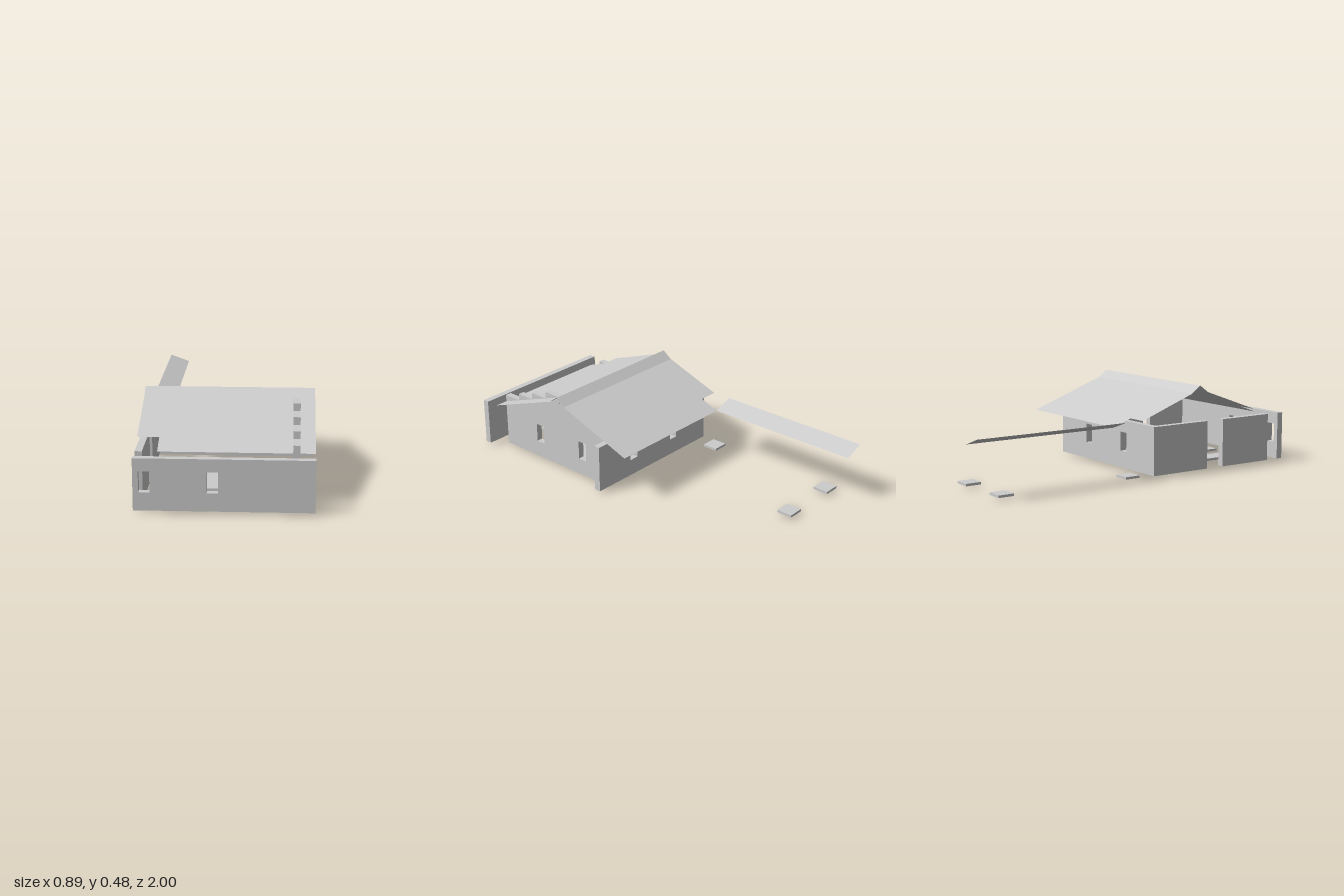
import * as THREE from 'three';

const C = 1 / 9;          // grid cell
const T = 0.036;          // wall thickness
const BASE = 0.0133;      // top of the floor slab
const EAVE = 0.28;        // top of the walls
const STEP = 0.04;        // rise per cell of roof
const W = 4 * C;          // half width

export function createModel() {
  const model = new THREE.Group();
  model.name = 'house';
  const plaster = new THREE.MeshStandardMaterial({ color: 0xcccccc, side: THREE.DoubleSide });
  plaster.name = 'light grey';

  const add = (name, geometry, parent = model) => {
    const mesh = new THREE.Mesh(geometry, plaster);
    mesh.name = name;
    parent.add(mesh);
    return mesh;
  };
  const box = (name, x0, x1, y0, y1, z0, z1) =>
    add(name, new THREE.BoxGeometry(x1 - x0, y1 - y0, z1 - z0)
      .translate((x0 + x1) / 2, (y0 + y1) / 2, (z0 + z1) / 2));

  // Outline extruded to wall thickness, with a window hole at each centre
  const wallGeometry = (points, windows) => {
    const shape = new THREE.Shape(points.map(p => new THREE.Vector2(...p)));
    for (const u of windows) {
      const hole = [[-1, 0.107], [-1, 0.214], [1, 0.214], [1, 0.107]];
      shape.holes.push(new THREE.Path(hole.map(([s, y]) => new THREE.Vector2(u + s * C / 4, y))));
    }
    return new THREE.ExtrudeGeometry(shape, { depth: T, bevelEnabled: false });
  };
  const longWall = [[-W, BASE], [W, BASE], [W, EAVE], [-W, EAVE]];

  // Floor slab with two strips reaching forward
  const floor = [[-2, 3], [2, 3], [2, 6], [1, 6], [1, 8], [0, 8], [0, 6], [-1, 6], [-1, 8], [-2, 8]];
  const floorShape = new THREE.Shape(floor.map(([x, z]) => new THREE.Vector2(x * C, z * C)));
  add('floor', new THREE.ExtrudeGeometry(floorShape, { depth: BASE, bevelEnabled: false })
    .rotateX(Math.PI / 2).translate(0, BASE, 0));

  // Front and back walls
  add('frontWall', wallGeometry(longWall, [-3.5 * C, -0.5 * C]).translate(0, 0, 1 - T));
  add('backWall', wallGeometry(longWall, [-1.5 * C, 1.5 * C]).translate(0, 0, C - T));

  // Side wall with a stepped gable
  const gable = [[C, BASE], [8 * C, BASE]];
  for (let i = 0; i < 4; i++) {
    const y = EAVE + (i + 1) * STEP;
    gable.push([(8 - i) * C, y], [(7 - i) * C, y]);
  }
  for (let i = 2; i >= 0; i--) {
    const y = EAVE + (i + 1) * STEP;
    gable.push([(i + 2) * C, y], [(i + 1) * C, y]);
  }
  add('gableWall', wallGeometry(gable, [2.5 * C, 5.5 * C])
    .rotateY(-Math.PI / 2).translate(3 * C + T, 0, 0));

  // Opposite side wall in two pieces with a doorway between
  box('sideWallBack', -W, -W + T, BASE, EAVE, C, 4 * C);
  box('sideWallFront', -W, -W + T, BASE, EAVE, 5 * C, 8 * C);

  // Thin roof sheets
  const sheet = (name, a, b, c, d) => {
    const g = new THREE.BufferGeometry();
    g.setAttribute('position', new THREE.Float32BufferAttribute([a, b, c, a, c, d].flat(), 3));
    g.computeVertexNormals();
    return add(name, g);
  };
  // Sheet spanning x0..W from the lower edge to the upper edge, facing front or back
  const slope = (name, x0, low, high) => {
    const at = (x, [y, z]) => [x, y, z];
    const [l, r] = low[1] > high[1] ? [x0, W] : [W, x0];
    sheet(name, at(l, low), at(r, low), at(r, high), at(l, high));
  };
  const ridgeZ = 3.5 * C;
  for (const [side, s] of [['front', 1], ['back', -1]]) {
    const p = (y, cells) => [EAVE + y * STEP, ridgeZ + s * cells * C];
    slope(side + 'RoofEave', -3 * C, p(0, 4.5), p(1, 3.5));
    slope(side + 'Roof', -W, p(1, 3.5), p(4, 0.5));
    slope(side + 'RidgeCap', -W, p(4, 0.5), p(5, 0));
  }

  // Long detached roof strip behind
  const hi = EAVE + STEP;
  sheet('roofStrip', [-W, hi, -1], [-W, hi, -C], [-3 * C, EAVE, -C], [-3 * C, EAVE, -1]);

  // Small paving slabs
  for (const [x, z] of [[-3.5, -0.5], [-3.5, -7.5], [-0.5, -7.5]])
    box('pavingSlab', (x - 0.4) * C, (x + 0.4) * C, BASE, 2 * BASE, (z - 0.4) * C, (z + 0.4) * C);

  return model;
}
